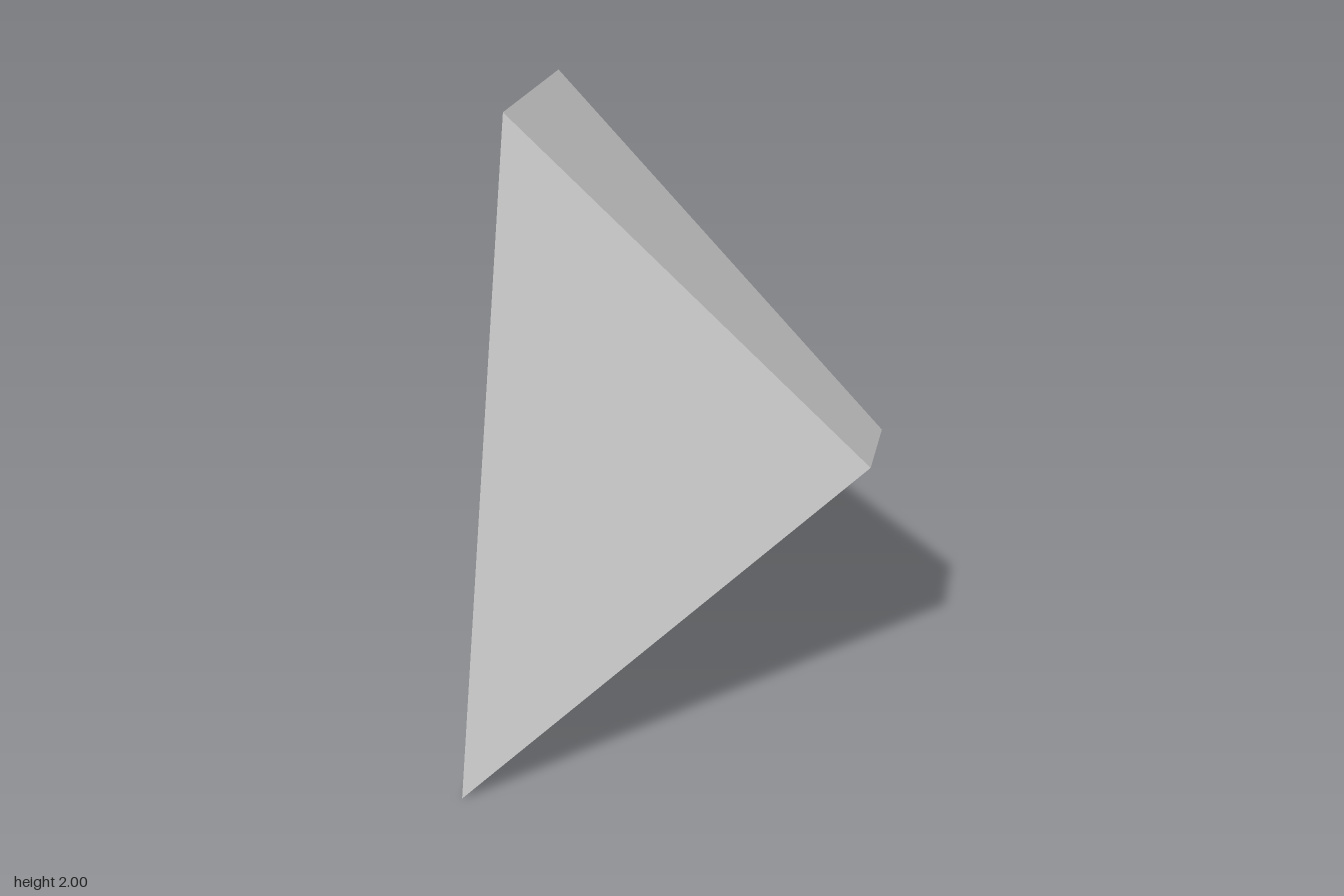
import * as THREE from 'three';

// Flat polygons (convex, counter-clockwise from outside) to one faceted geometry
function facets(polys) {
  const pos = [];
  for (const p of polys)
    for (let i = 1; i < p.length - 1; i++) pos.push(...p[0], ...p[i], ...p[i + 1]);
  const g = new THREE.BufferGeometry();
  g.setAttribute('position', new THREE.Float32BufferAttribute(pos, 3));
  g.computeVertexNormals();
  return g;
}

// Symmetric trapezoid: near edge at the back, far edge at the nose
const ring = (x0, y0, z0, x1, y1, z1) => [[x0, y0, z0], [x0, y0, -z0], [x1, y1, -z1], [x1, y1, z1]];
// Band of quads joining two rings
const band = (a, b) => a.map((p, i) => [p, a[(i + 1) % 4], b[(i + 1) % 4], b[i]]);

export function createModel() {
  const model = new THREE.Group();
  model.name = 'hollowWedge';
  const grey = new THREE.MeshStandardMaterial({ color: 0xcccccc });
  grey.name = 'light grey';
  const add = (name, polys) => {
    const mesh = new THREE.Mesh(facets(polys), grey);
    mesh.name = name;
    model.add(mesh);
  };

  const rim = ring(-0.57, 0, 1, 0.57, 0.855, 0.155);
  const opening = ring(-0.477, 0.07, 0.84, 0.477, 0.785, 0.135);
  const floor = ring(-0.548, 0.425, 0.69, 0.236, 1.013, 0.11);
  const [a, b, c, d] = rim;
  const topFront = [-0.57, 2, 0.3], topBack = [-0.57, 2, -0.3];

  // Outer shell
  add('backPanel', [[b, a, topFront, topBack]]);
  add('slopedTop', [[d, c, topBack, topFront]]);
  add('sidePanels', [[a, d, topFront], [c, b, topBack]]);

  // Slanted underside with a tapering recess
  add('undersideRim', band(rim, opening));
  add('recessWalls', band(opening, floor));
  add('recessFloor', [floor]);
  return model;
}
